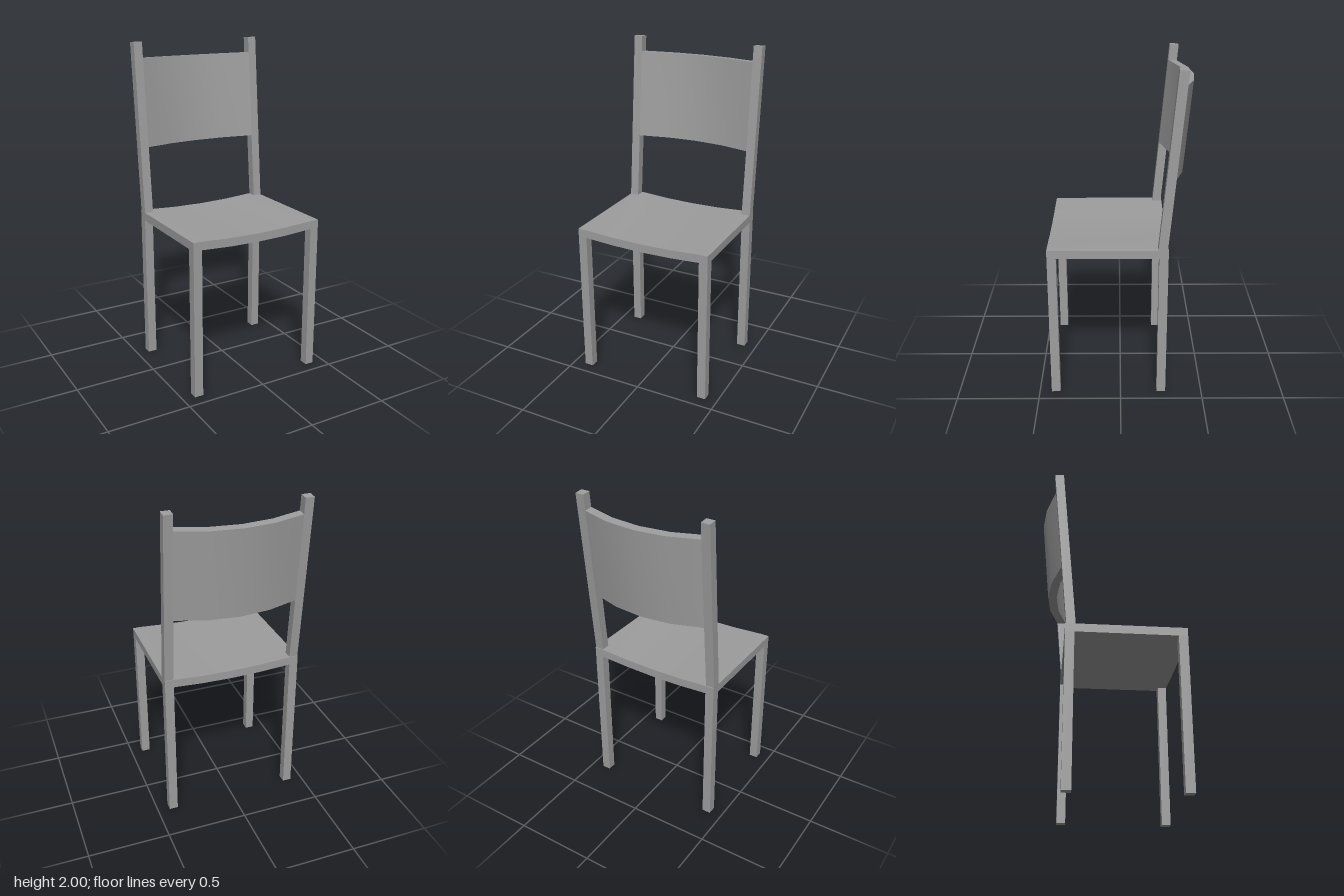
import * as THREE from 'three';
import { toCreasedNormals } from 'three/addons/utils/BufferGeometryUtils.js';

const material = new THREE.MeshStandardMaterial({ color: 0x9d9d9d });
const BAR = 0.054; // square section of legs and posts
const HALF = 0.426; // half the chair's width
const INNER = HALF - BAR; // inner face of the legs
const SEAT_TOP = 0.962;
const SEAT_THICK = 0.051;
const FRONT = 0.427;
const BACK = -0.278;

function part(name, geometry, x = 0, y = 0, z = 0) {
  const mesh = new THREE.Mesh(geometry, material);
  mesh.name = name;
  mesh.position.set(x, y, z);
  return mesh;
}

// Slab whose section is a shallow arc of the given sag, extruded along z
function curvedSlab(stations, sag, thickness, depth) {
  const offset = (x) => sag * Math.max(0, 1 - (x / INNER) ** 2);
  const lower = stations.map((x) => new THREE.Vector2(x, offset(x)));
  const upper = lower.map((p) => new THREE.Vector2(p.x, p.y + thickness)).reverse();
  const geometry = new THREE.ExtrudeGeometry(new THREE.Shape([...lower, ...upper]), {
    depth, bevelEnabled: false,
  });
  return toCreasedNormals(geometry, 0.5);
}

export function createModel() {
  const chair = new THREE.Group();
  chair.name = 'chair';
  const arc = [-INNER, -INNER / 2, 0, INNER / 2, INNER];

  // Seat, dished slightly across its width
  const seat = curvedSlab([-HALF, ...arc, HALF], -0.015, SEAT_THICK, FRONT - BACK);
  chair.add(part('seat', seat, 0, SEAT_TOP - SEAT_THICK, BACK));

  // Back frame leans rearwards about the seat's top
  const backFrame = new THREE.Group();
  backFrame.name = 'backFrame';
  backFrame.position.set(0, SEAT_TOP, -0.218);
  backFrame.rotation.x = -0.0885;
  chair.add(backFrame);

  const legHeight = SEAT_TOP - SEAT_THICK;
  const leg = new THREE.BoxGeometry(BAR, legHeight, BAR);
  const postHeight = 1.042;
  const post = new THREE.BoxGeometry(BAR, postHeight, BAR);
  for (const [side, sign] of [['left', 1], ['right', -1]]) {
    const x = sign * (HALF - BAR / 2);
    chair.add(part(`${side}FrontLeg`, leg, x, legHeight / 2, FRONT - BAR / 2));
    chair.add(part(`${side}BackLeg`, leg, x, legHeight / 2, BACK + BAR / 2));
    backFrame.add(part(`${side}BackPost`, post, x, postHeight / 2, -BAR / 2));
  }

  // Curved backrest panel between the posts
  const panel = curvedSlab(arc, 0.072, BAR, 0.54).rotateX(-Math.PI / 2);
  backFrame.add(part('backrest', panel, 0, 0.407, 0));

  return chair;
}
